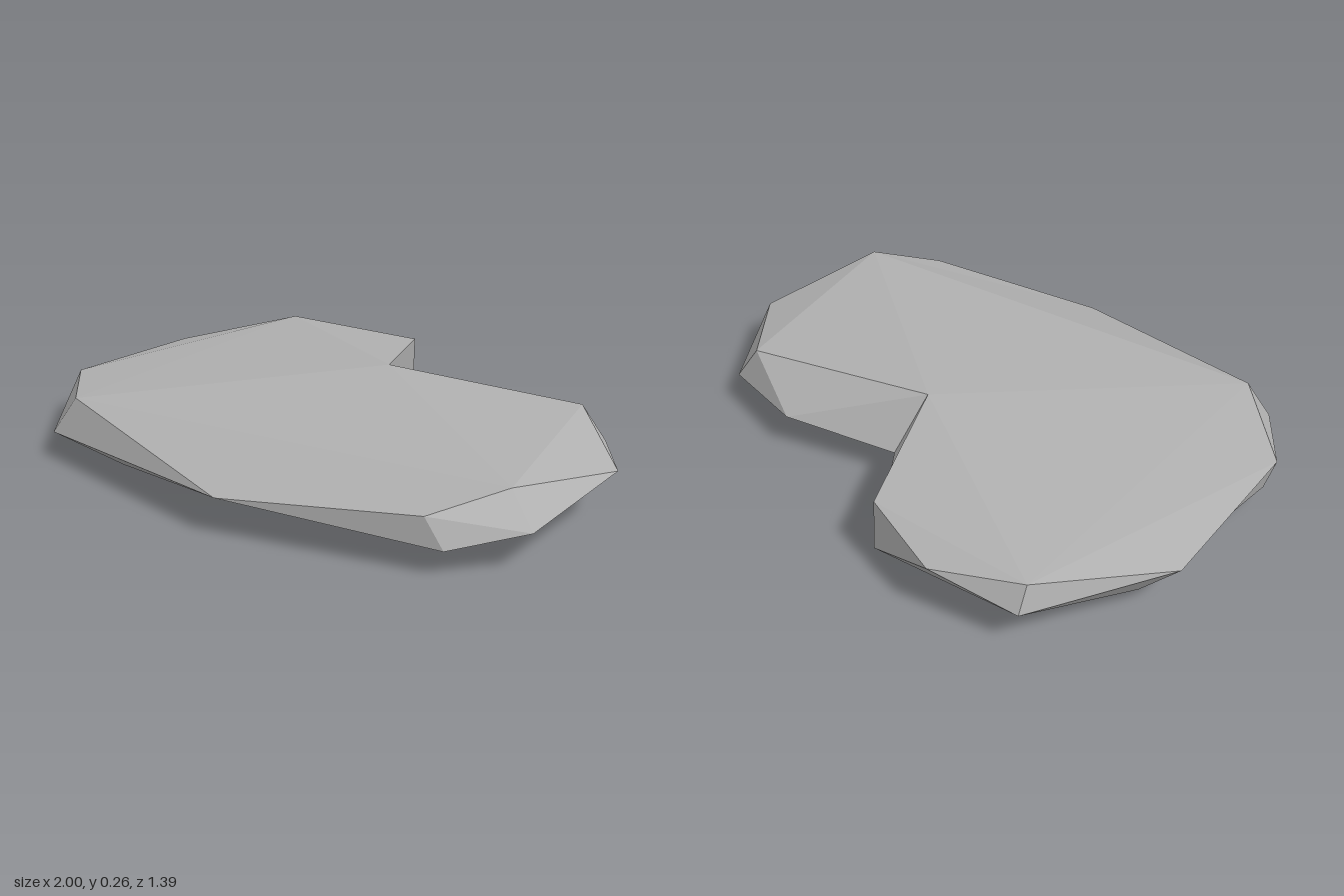
import * as THREE from 'three';

const P = (x, y, z) => new THREE.Vector3(x, y, z);

// Rim: the widest outline, starting at the back notch and going round by +x, front, -x
const rim = [
  P(0.02, 0.09, -0.38), P(0.38, 0.115, -0.545), P(0.71, 0.105, -0.52), P(0.96, 0.16, -0.22),
  P(1, 0.12, 0.23), P(0.85, 0.08, 0.425), P(0.21, 0.12, 0.695), P(-0.63, 0.09, 0.685),
  P(-0.88, 0.18, 0.4), P(-1, 0.15, -0.16), P(-0.81, 0.117, -0.6), P(-0.54, 0.165, -0.7),
  P(-0.28, 0.065, -0.69),
];

// Corners of the upper facets
const peak = P(0.01, 0.26, -0.245);
const backLeft = P(0.64, 0.22, -0.48);
const sideLeft = P(0.92, 0.23, 0.23);
const frontLeft = P(0.79, 0.17, 0.44);
const frontRight = P(-0.57, 0.21, 0.63);
const sideRight = P(-0.8, 0.2, -0.56);
const backRight = P(-0.25, 0.205, -0.66);

// Corners of the lower facets
const foot = P(-0.04, 0, -0.19);
const footLeft = P(0.81, 0.025, 0.11);
const footFront = P(-0.38, 0.02, 0.59);
const footRight = P(-0.85, 0.07, 0.39);
const footBack = P(-0.91, 0.06, -0.23);

// Loops matching the rim point by point; repeated points collapse into single facets
const shoulder = [
  peak, peak, backLeft, rim[3], sideLeft, frontLeft, rim[6], frontRight,
  rim[8], rim[9], sideRight, sideRight, backRight,
];
const crown = [
  peak, peak, backLeft, backLeft, sideLeft, sideLeft, sideLeft, frontRight,
  frontRight, sideRight, sideRight, sideRight, backRight,
];
const base = [
  rim[0], rim[1], rim[2], footLeft, footLeft, footLeft, footLeft, footFront,
  footRight, footBack, footBack, rim[12], rim[12],
];

function stoneGeometry() {
  const positions = [];
  const tri = (a, b, c, flip) => {
    if (a === b || b === c || a === c) return;
    for (const v of flip ? [a, c, b] : [a, b, c]) positions.push(v.x, v.y, v.z);
  };
  // Facets between an outer and an inner loop
  const band = (outer, inner, flip) => {
    for (let i = 0; i < outer.length; i++) {
      const j = (i + 1) % outer.length;
      tri(outer[i], inner[i], inner[j], flip);
      tri(outer[i], inner[j], outer[j], flip);
    }
  };
  // Facets from a loop to one hub point
  const cap = (loop, hub, flip) => {
    for (let i = 0; i < loop.length; i++) tri(hub, loop[(i + 1) % loop.length], loop[i], flip);
  };
  band(rim, shoulder, false);
  band(shoulder, crown, false);
  cap(crown, peak, false);
  band(rim, base, true);
  cap(base, foot, true);

  const geometry = new THREE.BufferGeometry();
  geometry.setAttribute('position', new THREE.Float32BufferAttribute(positions, 3));
  geometry.computeVertexNormals(); // unshared corners give flat facets
  return geometry;
}

export function createModel() {
  const group = new THREE.Group();
  group.name = 'flatStone';
  const stoneGrey = new THREE.MeshStandardMaterial({ color: 0xb0b0b0 });
  stoneGrey.name = 'stone grey';
  const stone = new THREE.Mesh(stoneGeometry(), stoneGrey);
  stone.name = 'stone';
  group.add(stone);
  return group;
}
